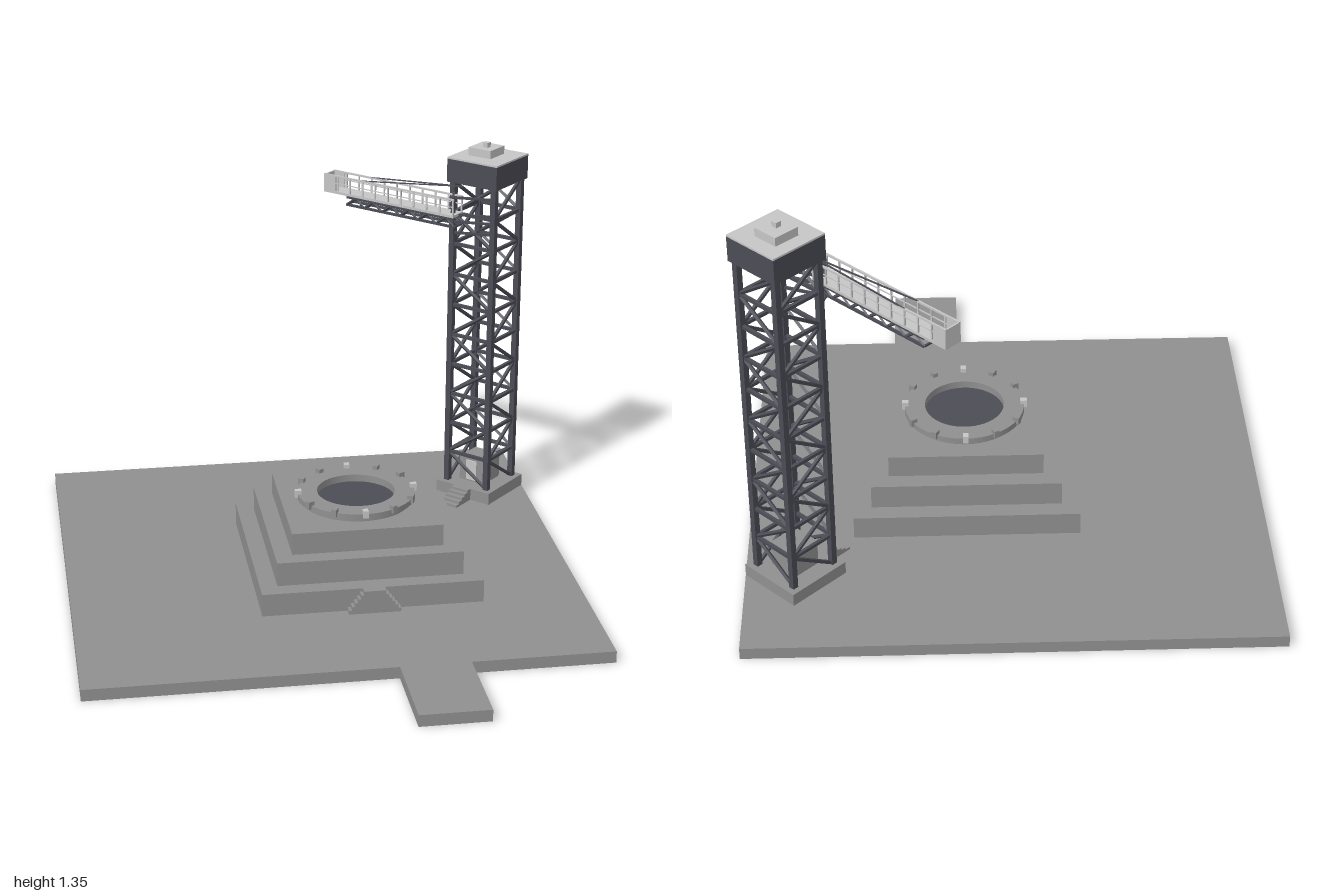
import * as THREE from 'three';
import { mergeGeometries } from 'three/addons/utils/BufferGeometryUtils.js';

const mat = (name, color) => Object.assign(new THREE.MeshStandardMaterial({ color }), { name });
const V = (x, y, z) => new THREE.Vector3(x, y, z);

export function createModel() {
  const concrete = mat('concrete', 0x909090);
  const steel = mat('darkSteel', 0x4b4c55);
  const light = mat('lightPanel', 0xc6c6c6);

  const model = new THREE.Group();
  model.name = 'launchPad';

  const add = (parent, name, geometry, material) => {
    const mesh = new THREE.Mesh(geometry, material);
    mesh.name = name;
    parent.add(mesh);
    return mesh;
  };
  // Box given by its minimum and maximum on each axis
  const box = (parent, name, material, x0, x1, y0, y1, z0, z1) => {
    const mesh = add(parent, name, new THREE.BoxGeometry(x1 - x0, y1 - y0, z1 - z0), material);
    mesh.position.set((x0 + x1) / 2, (y0 + y1) / 2, (z0 + z1) / 2);
    return mesh;
  };
  // Square bar between two points
  const beam = (a, b, t) => {
    const d = b.clone().sub(a);
    const g = new THREE.BoxGeometry(t, t, d.length());
    g.applyQuaternion(new THREE.Quaternion().setFromUnitVectors(V(0, 0, 1), d.normalize()));
    const m = a.clone().add(b).multiplyScalar(0.5);
    return g.translate(m.x, m.y, m.z);
  };

  // Ground slab with the approach road, as one outline
  const ground = new THREE.Shape();
  [[-0.85, 1], [0.85, 1], [0.85, -0.69], [0.38, -0.69], [0.38, -1], [0.15, -1], [0.15, -0.69], [-0.85, -0.69]]
    .forEach(([x, y], i) => (i ? ground.lineTo(x, y) : ground.moveTo(x, y)));
  add(model, 'groundSlab', new THREE.ExtrudeGeometry(ground, { depth: 0.04, bevelEnabled: false })
    .rotateX(-Math.PI / 2), concrete);

  // Stepped podium
  const podium = new THREE.Group();
  podium.name = 'podium';
  podium.position.set(0.137, 0, -0.09);
  model.add(podium);
  [[0.37, 0.04, 0.118], [0.312, 0.118, 0.2], [0.254, 0.2, 0.275]].forEach(([h, y0, y1], i) =>
    box(podium, 'tier' + (i + 1), concrete, -h, h, y0, y1, -h, h));

  // Double stair against the front of the podium
  const n = 6, half = 0.087, flat = 0.037;
  const stair = new THREE.Shape();
  stair.moveTo(-half, 0.04);
  for (const side of [-1, 1]) {
    for (let i = 0; i < n; i++) {
      const k = side < 0 ? i : n - 1 - i;
      const x = side * (half - ((half - flat) * k) / (n - 1));
      const low = 0.04 + (0.08 * k) / n, high = 0.04 + (0.08 * (k + 1)) / n;
      stair.lineTo(x, side < 0 ? low : high);
      stair.lineTo(x, side < 0 ? high : low);
    }
  }
  add(podium, 'frontStair', new THREE.ExtrudeGeometry(stair, { depth: 0.03, bevelEnabled: false }), concrete)
    .position.z = 0.37;

  // Launch ring, dark pit and hold-down clamps
  const profile = [[0.132, 0.275], [0.188, 0.275], [0.188, 0.286], [0.2, 0.286], [0.2, 0.306], [0.132, 0.306], [0.132, 0.275]];
  const ringParts = [];
  for (let i = 0; i < profile.length - 1; i++) {
    ringParts.push(new THREE.LatheGeometry([profile[i], profile[i + 1]].map(p => new THREE.Vector2(...p)), 48));
  }
  add(podium, 'launchRing', mergeGeometries(ringParts), concrete);
  add(podium, 'pitFloor', new THREE.CylinderGeometry(0.132, 0.132, 0.004, 48), steel).position.y = 0.279;
  for (let i = 0; i < 12; i++) {
    const a = (i * Math.PI) / 6;
    const clamp = add(podium, 'clamp', new THREE.BoxGeometry(0.022, 0.026, 0.018), i % 3 ? concrete : light);
    clamp.position.set(Math.cos(a) * 0.198, 0.307, Math.sin(a) * 0.198);
    clamp.rotation.y = -a;
  }

  // Service tower, turned so its own +x runs along the swung-back arm
  const tower = new THREE.Group();
  tower.name = 'serviceTower';
  tower.position.set(0.69, 0, -0.64);
  tower.rotation.y = (3 * Math.PI) / 4;
  model.add(tower);
  box(tower, 'towerBase', concrete, -0.113, 0.113, 0.04, 0.083, -0.113, 0.113);
  for (let i = 0; i < 5; i++) {
    box(tower, 'towerStep', concrete, -0.035, 0.035, 0.04, 0.083 - i * 0.0085, -0.133 - i * 0.018, -0.113 - i * 0.018);
  }

  // Lattice: columns, floor rails and diagonals that alternate from level to level
  const c = 0.084, bottom = 0.083, levels = 10, step = (1.217 - bottom) / levels;
  const corners = [[-c, -c], [c, -c], [c, c], [-c, c]];
  const columns = [], rails = [], braces = [];
  corners.forEach(([x, z], k) => {
    const [x2, z2] = corners[(k + 1) % 4];
    columns.push(beam(V(x, bottom, z), V(x, 1.217, z), 0.02));
    for (let i = 0; i < levels; i++) {
      const y = bottom + i * step, flip = i % 2;
      if (i) rails.push(beam(V(x, y, z), V(x2, y, z2), 0.011));
      braces.push(beam(V(x, flip ? y + step : y, z), V(x2, flip ? y : y + step, z2), 0.01));
    }
  });
  add(tower, 'columns', mergeGeometries(columns), steel);
  add(tower, 'floorRails', mergeGeometries(rails), steel);
  add(tower, 'diagonalBraces', mergeGeometries(braces), steel);

  // Machinery inside the foot, and the tower head
  box(tower, 'footCabin', concrete, -0.052, 0.052, 0.083, 0.172, -0.052, 0.052);
  box(tower, 'footDoor', light, -0.022, 0.022, 0.09, 0.165, -0.057, -0.052);
  box(tower, 'towerHead', steel, -0.102, 0.102, 1.217, 1.3, -0.102, 0.102);
  box(tower, 'towerRoof', light, -0.102, 0.102, 1.3, 1.306, -0.102, 0.102);
  box(tower, 'roofHousing', light, -0.035, 0.055, 1.306, 1.335, -0.04, 0.05);
  box(tower, 'roofVent', light, -0.004, 0.016, 1.335, 1.352, -0.01, 0.01);

  // Access arm: deck, railings, end frame, under-truss and stay cables
  const arm = new THREE.Group();
  arm.name = 'accessArm';
  arm.position.z = -0.138;
  tower.add(arm);
  const x0 = 0.03, x1 = 0.585, w = 0.031;
  box(arm, 'armDeck', light, x0, x1, 1.112, 1.121, -w, w);
  box(arm, 'armEndPanel', light, x1 - 0.006, x1, 1.121, 1.178, -w, w);
  const railing = [], truss = [], cables = [];
  for (const z of [-w + 0.003, w - 0.003]) {
    railing.push(beam(V(x0, 1.177, z), V(x1, 1.177, z), 0.006));
    railing.push(beam(V(x0, 1.15, z), V(x1, 1.15, z), 0.003));
    for (let i = 0; i <= 10; i++) {
      const x = x0 + 0.003 + ((x1 - x0 - 0.006) * i) / 10;
      railing.push(beam(V(x, 1.118, z), V(x, 1.178, z), 0.005));
    }
    box(arm, 'armEndSide', light, x1 - 0.05, x1, 1.121, 1.178, z - 0.003, z + 0.003);
    // Zigzag web under the deck
    const tz = z * 0.8;
    truss.push(beam(V(x0, 1.078, tz), V(0.49, 1.078, tz), 0.008));
    truss.push(beam(V(x0, 1.106, tz), V(0.49, 1.106, tz), 0.008));
    for (let i = 0; i < 12; i++) {
      const xa = x0 + (0.46 * i) / 12, xb = x0 + (0.46 * (i + 1)) / 12;
      truss.push(beam(V(xa, i % 2 ? 1.106 : 1.078, tz), V(xb, i % 2 ? 1.078 : 1.106, tz), 0.006));
    }
    cables.push(beam(V(0.04, 1.208, 0.045), V(0.42, 1.178, z), 0.004));
  }
  for (let i = 0; i <= 6; i++) {
    const x = x0 + (0.46 * i) / 6;
    truss.push(beam(V(x, 1.078, -w * 0.75), V(x, 1.078, w * 0.75), 0.006));
  }
  add(arm, 'armRailing', mergeGeometries(railing), light);
  add(arm, 'armTruss', mergeGeometries(truss), steel);
  add(arm, 'stayCables', mergeGeometries(cables), steel);

  // Hinge bars joining the arm to the tower face
  const hinge = [];
  for (const y of [1.05, 1.09, 1.116, 1.177]) {
    hinge.push(beam(V(-c, y, 0.054), V(0.05, y, 0), 0.008));
    hinge.push(beam(V(c, y, 0.054), V(0.05, y, 0), 0.008));
  }
  hinge.push(beam(V(0.05, 1.045, 0), V(0.05, 1.18, 0), 0.012));
  add(arm, 'armHinge', mergeGeometries(hinge), steel);

  return model;
}
